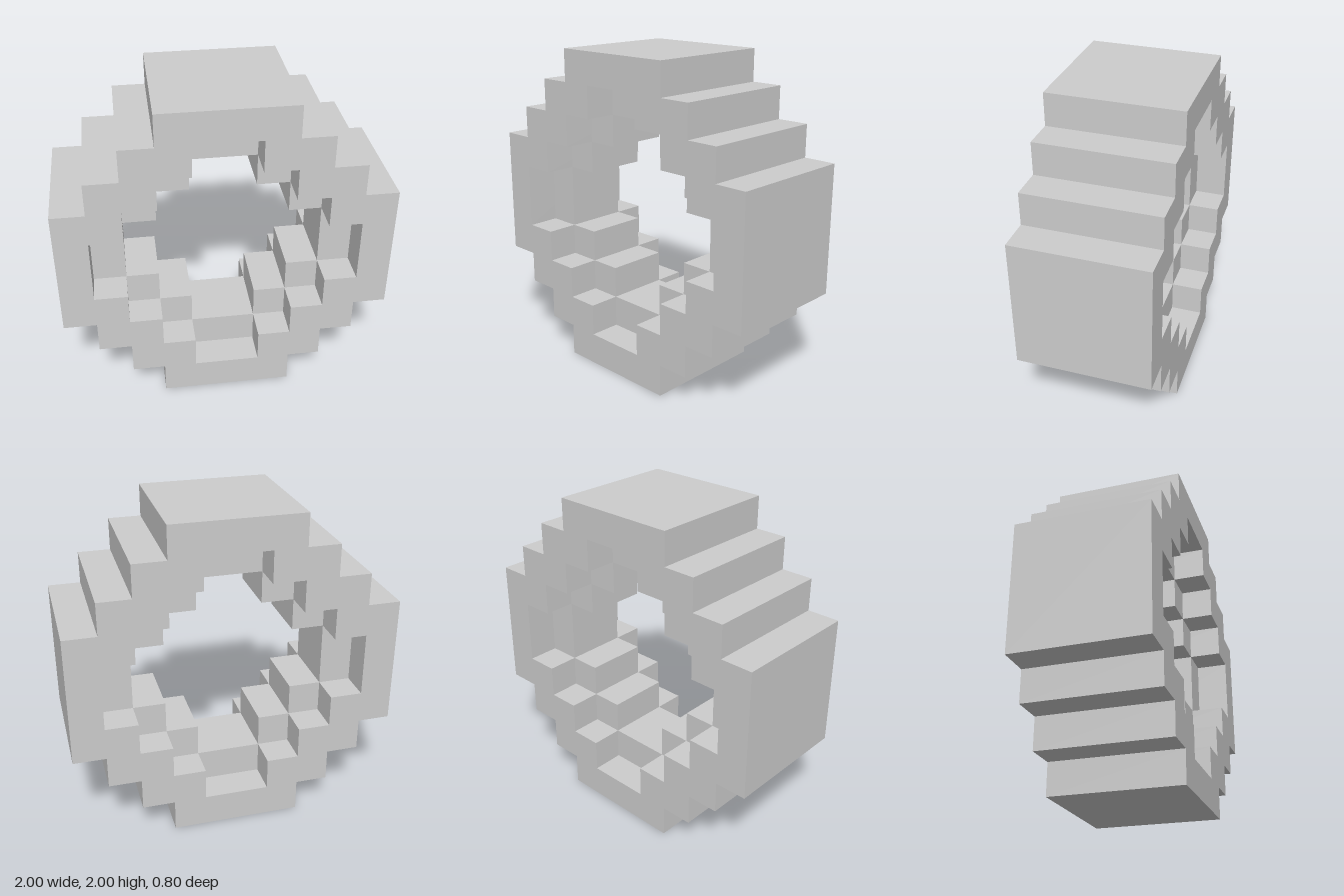
import * as THREE from 'three';

const UNIT = 0.2;

// Closed stepped outline, counter-clockwise: one staircase repeated in four quarter turns
function steppedOutline(radius) {
  const stair = [];
  let x = radius;
  let y = radius - 3 * UNIT;
  stair.push([x, y]);
  for (let i = 0; i < 3; i++) {
    x -= UNIT;
    stair.push([x, y]);
    y += UNIT;
    stair.push([x, y]);
  }
  const points = [];
  for (let q = 0; q < 4; q++) {
    for (const [px, py] of stair) {
      const [rx, ry] = [[px, py], [-py, px], [-px, -py], [py, -px]][q];
      points.push(new THREE.Vector2(rx, ry));
    }
  }
  return points;
}

export function createModel() {
  const model = new THREE.Group();
  model.name = 'steppedRing';
  const grey = new THREE.MeshStandardMaterial({ color: 0xcccccc });
  grey.name = 'lightGrey';

  // Full-depth outer ring
  const shape = new THREE.Shape(steppedOutline(1));
  shape.holes.push(new THREE.Path(steppedOutline(0.8).reverse()));
  const ringGeometry = new THREE.ExtrudeGeometry(shape, { depth: 4 * UNIT, bevelEnabled: false });
  ringGeometry.translate(0, 0, -2 * UNIT);
  const ring = new THREE.Mesh(ringGeometry, grey);
  ring.name = 'outerRing';
  ring.position.y = 1;
  model.add(ring);

  // Half-depth inner lining: per quarter, one flat block and two stair blocks
  const blocks = [
    ['innerFlat', 0.7, 0, 2 * UNIT],
    ['innerStepLow', 0.5, 0.3, UNIT],
    ['innerStepHigh', 0.3, 0.5, UNIT],
  ];
  for (let q = 0; q < 4; q++) {
    const quarter = new THREE.Group();
    quarter.name = 'innerLining' + (q + 1);
    quarter.position.y = 1;
    quarter.rotation.z = q * Math.PI / 2;
    for (const [name, x, y, height] of blocks) {
      const block = new THREE.Mesh(new THREE.BoxGeometry(UNIT, height, 2 * UNIT), grey);
      block.name = name;
      block.position.set(x, y, 0);
      quarter.add(block);
    }
    model.add(quarter);
  }
  return model;
}
